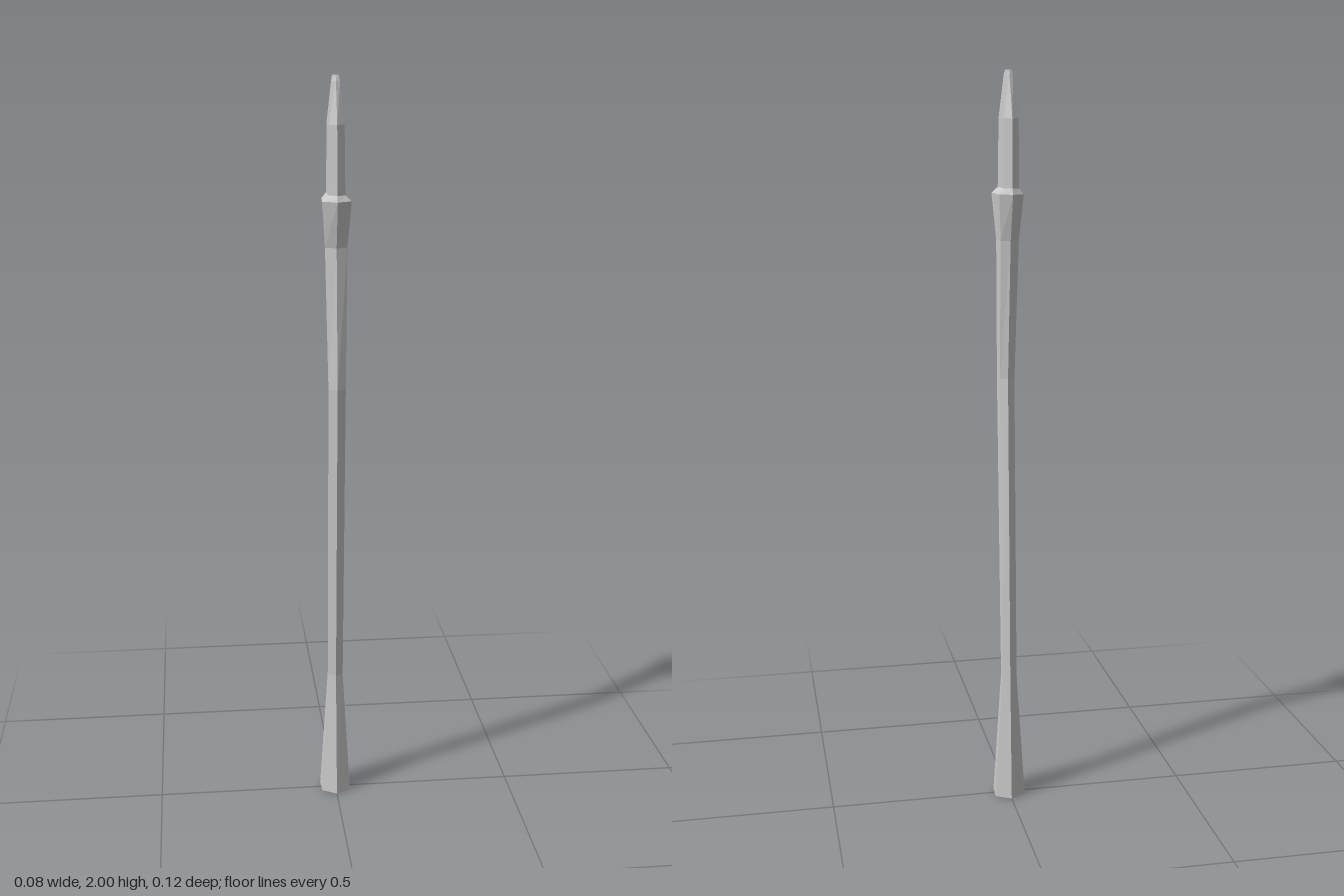
import * as THREE from 'three';

const material = new THREE.MeshStandardMaterial({ color: 0xcccccc, flatShading: true });

// Six-sided ring: ridges at front and back, flat flanks left and right.
// y height, front / back z of the ridges, half widths of the front and back corners,
// k = how far the corners reach towards the ridges
function ring([y, front, back, wFront, wBack, k]) {
  const mid = (front + back) / 2, half = (front - back) / 2;
  const zf = mid + half * k, zb = mid - half * k;
  return [[0, y, front], [wFront, y, zf], [wBack, y, zb], [0, y, back], [-wBack, y, zb], [-wFront, y, zf]];
}

// Skin a stack of rings from bottom to top, with optional end caps
function loft(name, sections, capBottom, capTop) {
  const rings = sections.map(ring), pos = [];
  const tri = (a, b, c) => pos.push(...a, ...b, ...c);
  for (let i = 0; i < rings.length - 1; i++) {
    const lo = rings[i], hi = rings[i + 1];
    for (let j = 0; j < 6; j++) {
      const n = (j + 1) % 6;
      tri(lo[j], lo[n], hi[n]);
      tri(lo[j], hi[n], hi[j]);
    }
  }
  const first = rings[0], last = rings[rings.length - 1];
  for (let j = 1; j < 5; j++) {
    if (capBottom) tri(first[0], first[j + 1], first[j]);
    if (capTop) tri(last[0], last[j], last[j + 1]);
  }
  const geometry = new THREE.BufferGeometry();
  geometry.setAttribute('position', new THREE.Float32BufferAttribute(pos, 3));
  geometry.computeVertexNormals();
  const mesh = new THREE.Mesh(geometry, material);
  mesh.name = name;
  return mesh;
}

export function createModel() {
  const group = new THREE.Group();
  group.name = 'staff';

  // Sections shared by neighbouring parts
  const neck = [1.57, 0.034, -0.028, 0.029, 0.024, 0.6];
  const socket = [1.705, 0.05, -0.052, 0.022, 0.02, 0.72];

  // Bent shaft with a flared foot
  group.add(loft('shaft', [
    [0, 0.046, -0.047, 0.04, 0.042, 0.5],
    [0.36, 0.02, -0.025, 0.02, 0.02, 0.5],
    [1.2, 0.06, 0.008, 0.023, 0.02, 0.5],
    neck,
  ], true, false));

  // Collar flaring out, then stepping in to the head
  group.add(loft('collar', [
    neck,
    [1.69, 0.062, -0.061, 0.038, 0.032, 0.65],
    socket,
  ], false, false));

  // Flat head tapering to a blunt tip
  group.add(loft('head', [
    socket,
    [1.88, 0.047, -0.049, 0.02, 0.019, 0.72],
    [1.985, 0.016, -0.012, 0.011, 0.01, 0.7],
    [2, 0.009, -0.006, 0.008, 0.008, 0.7],
  ], false, true));

  return group;
}
